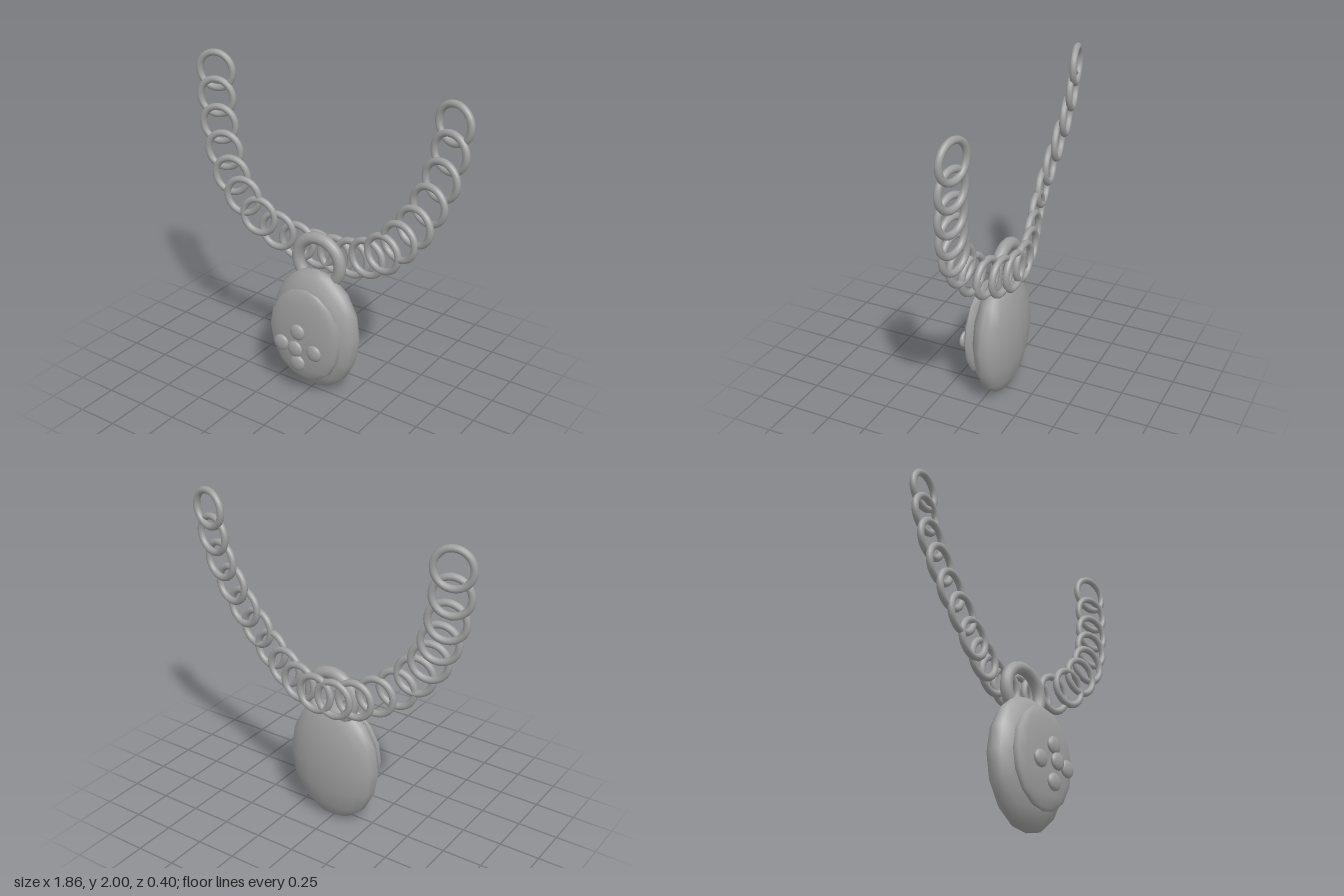
import * as THREE from 'three';

export function createModel() {
  const group = new THREE.Group();
  const metal = new THREE.MeshStandardMaterial({ color: 0x9e9e9e });
  metal.name = 'grey metal';

  const add = (name, geometry, x, y, z) => {
    const mesh = new THREE.Mesh(geometry, metal);
    mesh.name = name;
    mesh.position.set(x, y, z);
    group.add(mesh);
    return mesh;
  };
  const ellipsoid = (rx, ry, rz, w, h) => new THREE.SphereGeometry(1, w, h).scale(rx, ry, rz);

  // Chain: link centres of one half, from the open end down to the middle
  const links = [
    [0.804, 1.87, -0.155], [0.794, 1.71, -0.14], [0.762, 1.55, -0.117],
    [0.709, 1.40, -0.09], [0.64, 1.26, -0.067], [0.55, 1.145, -0.06],
    [0.44, 1.035, -0.07], [0.32, 0.96, -0.098], [0.196, 0.91, -0.13],
    [0.065, 0.885, -0.152],
  ];
  const linkGeometry = new THREE.TorusGeometry(0.11, 0.021, 12, 32);
  for (const side of [-1, 1]) {
    for (const [x, y, z] of links) {
      const link = add('chainLink', linkGeometry, side * x, y, z);
      link.rotation.y = -side * x * 0.25; // links turn with the curve of the neck
    }
  }

  // Bail ring that holds the pendant
  add('bail', new THREE.TorusGeometry(0.15, 0.038, 12, 36), 0, 0.855, -0.072);

  // Pendant body and raised front plate
  add('pendantBody', ellipsoid(0.31, 0.405, 0.13, 16, 8), 0, 0.408, -0.045);
  add('frontPlate', ellipsoid(0.257, 0.31, 0.05, 16, 8), 0, 0.414, 0.074);

  // Flower of five small studs
  const petal = ellipsoid(0.052, 0.052, 0.022, 20, 14);
  for (const [x, y] of [[0, 0.472], [0, 0.257], [-0.118, 0.363], [0.118, 0.363]]) {
    add('petalStud', petal, x, y, 0.153);
  }
  add('centreStud', petal, 0, 0.37, 0.178);

  return group;
}
